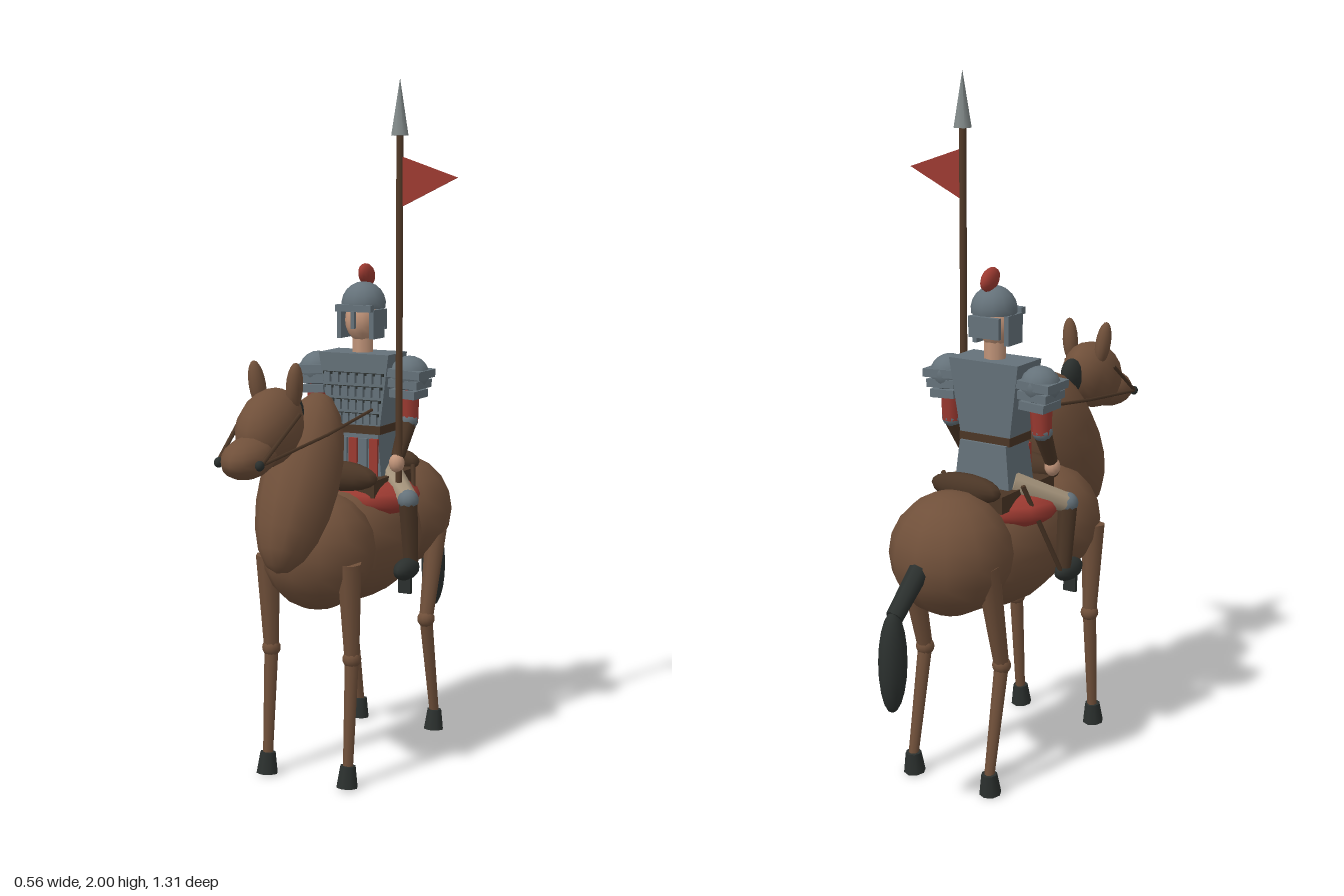
import * as THREE from 'three';

const COLORS = {
  coat: 0x70503a, dark: 0x2b302e, leather: 0x4b3626, steel: 0x65727a,
  red: 0x9c3a31, skin: 0xc2957a, cloth: 0xa3927a, wood: 0x523a28, silver: 0x848c8c,
};
const MATS = {};
for (const [k, color] of Object.entries(COLORS)) MATS[k] = new THREE.MeshStandardMaterial({ color });
const V = (x, y, z) => new THREE.Vector3(x, y, z);

export function createModel() {
  const model = new THREE.Group();
  const body = new THREE.Group(); // horse and rider share one centre plane
  body.name = 'horseAndRider';
  body.position.x = -0.055;
  model.add(body);

  const add = (name, geo, mat, parent = body) => {
    const m = new THREE.Mesh(geo, MATS[mat]);
    m.name = name;
    parent.add(m);
    return m;
  };
  // Ellipsoid: centre, radii, tilt about x
  const blob = (name, mat, c, r, tilt = 0) => {
    const m = add(name, new THREE.SphereGeometry(1, 12, 10), mat);
    m.position.set(...c);
    m.scale.set(...r);
    m.rotation.x = tilt;
    return m;
  };
  // Tapered rod from a to b
  const rod = (name, mat, a, b, ra, rb = ra, sides = 8) => {
    const p = V(...a), q = V(...b), d = q.clone().sub(p);
    const m = add(name, new THREE.CylinderGeometry(rb, ra, d.length(), sides), mat);
    m.position.copy(p).add(q).multiplyScalar(0.5);
    m.quaternion.setFromUnitVectors(V(0, 1, 0), d.normalize());
    return m;
  };
  // Box whose lower end is scaled by kx, kz
  const box = (name, mat, c, s, kx = 1, kz = 1) => {
    const g = new THREE.BoxGeometry(...s), p = g.attributes.position;
    for (let i = 0; i < p.count; i++)
      if (p.getY(i) < 0) p.setXYZ(i, p.getX(i) * kx, p.getY(i), p.getZ(i) * kz);
    g.computeVertexNormals();
    const m = add(name, g, mat);
    m.position.set(...c);
    return m;
  };

  // Horse trunk, neck and head
  blob('barrel', 'coat', [0, 0.655, -0.07], [0.165, 0.18, 0.3]);
  blob('rump', 'coat', [0, 0.695, -0.33], [0.175, 0.177, 0.175]);
  blob('chest', 'coat', [0, 0.665, 0.175], [0.165, 0.172, 0.168]);
  blob('neck', 'coat', [0, 0.88, 0.28], [0.11, 0.27, 0.115], -0.52);
  blob('horseHead', 'coat', [0, 1.055, 0.445], [0.083, 0.1, 0.13], 0.45);
  blob('muzzle', 'coat', [0, 0.99, 0.555], [0.066, 0.056, 0.1], 0.12);
  blob('mane', 'dark', [0, 1.075, 0.325], [0.03, 0.055, 0.045], -0.4);

  // Tail
  rod('tailRoot', 'dark', [0, 0.7, -0.47], [0, 0.59, -0.6], 0.03, 0.025);
  blob('tailHair', 'dark', [0, 0.465, -0.61], [0.038, 0.145, 0.044], 0.03);

  // Saddle and blanket
  blob('saddleBlanket', 'red', [0, 0.785, -0.085], [0.187, 0.068, 0.16]);
  box('saddleSeat', 'leather', [0, 0.825, -0.1], [0.22, 0.05, 0.28]);
  blob('pommel', 'leather', [0, 0.86, 0.045], [0.125, 0.045, 0.036]);
  blob('cantle', 'leather', [0, 0.865, -0.255], [0.117, 0.042, 0.034]);

  // Rider torso: cuirass, belt and skirt
  box('cuirass', 'steel', [0, 1.1, -0.105], [0.23, 0.22, 0.125], 0.72, 0.85);
  box('belt', 'leather', [0, 0.985, -0.105], [0.17, 0.025, 0.112]);
  box('skirt', 'steel', [0, 0.905, -0.11], [0.155, 0.14, 0.12], 1.2, 1.1);
  for (let i = -2; i <= 2; i++)
    box('skirtStrip', i % 2 ? 'steel' : 'red', [i * 0.034, 0.9, -0.045], [0.026, 0.12, 0.014]);

  // Rows of chest scales
  for (let row = 0; row < 4; row++) {
    const y = 1.15 - row * 0.04;
    box('scaleBacking', 'dark', [0, y, -0.045], [0.2 - row * 0.012, 0.008, 0.012]);
    for (let i = -3; i <= 3; i++)
      box('chestScale', 'steel', [i * (0.028 - row * 0.0016), y - 0.012, -0.041], [0.018, 0.03, 0.012]);
  }

  // Rider head and helmet
  rod('riderNeck', 'skin', [0, 1.19, -0.105], [0, 1.28, -0.105], 0.032);
  blob('face', 'skin', [0, 1.305, -0.1], [0.05, 0.065, 0.053]);
  const dome = add('helmetDome', new THREE.SphereGeometry(0.066, 12, 6, 0, Math.PI * 2, 0, Math.PI * 0.56), 'steel');
  dome.material = MATS.steel.clone();
  dome.material.side = THREE.DoubleSide;
  dome.position.set(0, 1.352, -0.11);
  box('helmetBrow', 'steel', [0, 1.342, -0.05], [0.118, 0.02, 0.022]);
  box('noseGuard', 'steel', [0, 1.308, -0.042], [0.012, 0.05, 0.012]);
  box('neckGuard', 'steel', [0, 1.305, -0.158], [0.1, 0.06, 0.015]);
  blob('plume', 'red', [0, 1.437, -0.13], [0.02, 0.031, 0.043], -0.45);

  // Mirrored parts
  for (const s of [1, -1]) {
    // Horse ears, bridle and reins
    blob('horseEar', 'coat', [s * 0.058, 1.165, 0.41], [0.023, 0.068, 0.025], 0.1).rotation.z = -s * 0.12;
    blob('bitRing', 'dark', [s * 0.063, 0.98, 0.605], [0.012, 0.014, 0.014]);
    rod('bridleStrap', 'leather', [s * 0.066, 0.98, 0.605], [s * 0.085, 1.095, 0.43], 0.006, 0.006, 6);
    rod('rein', 'leather', [s * 0.066, 0.98, 0.605], [s * 0.09, 1.02, 0.28], 0.005, 0.005, 6);
    rod('rein', 'leather', [s * 0.09, 1.02, 0.28], [s * 0.088, 1.055, 0.01], 0.005, 0.005, 6);

    // Horse legs: [hip, knee, fetlock]
    const legs = {
      front: [[s * 0.132, 0.65, 0.235], [s * 0.132, 0.37, 0.22], [s * 0.132, 0.05, 0.245]],
      hind: [[s * 0.135, 0.69, -0.352], [s * 0.132, 0.37, -0.275], [s * 0.132, 0.05, -0.34]],
    };
    for (const [k, [hip, knee, foot]] of Object.entries(legs)) {
      rod(k + 'UpperLeg', 'coat', hip, knee, 0.036, 0.022);
      blob(k + 'Knee', 'coat', knee, [0.027, 0.027, 0.027]);
      rod(k + 'LowerLeg', 'coat', knee, foot, 0.021, 0.015);
      rod(k + 'Hoof', 'dark', [foot[0], 0, foot[2] + 0.006], [foot[0], 0.062, foot[2]], 0.032, 0.023);
    }

    // Shoulder plates
    blob('pauldron', 'steel', [s * 0.152, 1.15, -0.108], [0.058, 0.055, 0.058]);
    for (let i = 0; i < 3; i++)
      box('shoulderPlate', 'steel', [s * (0.158 - i * 0.004), 1.155 - i * 0.03, -0.107],
        [0.105 - i * 0.012, 0.024, 0.112 - i * 0.008]).rotation.z = -s * 0.06;

    // Arms
    rod('sleeve', 'red', [s * 0.15, 1.13, -0.105], [s * 0.153, 1.01, -0.1], 0.034, 0.029);
    blob('elbow', 'steel', [s * 0.153, 1.015, -0.098], [0.03, 0.028, 0.03]);
    rod('forearm', 'leather', [s * 0.153, 1.01, -0.095], [s * 0.148, 0.915, -0.04], 0.027, 0.02);
    blob('hand', 'skin', [s * 0.148, 0.897, -0.033], [0.023, 0.028, 0.023]);

    // Cheek guard
    box('cheekGuard', 'steel', [s * 0.053, 1.295, -0.092], [0.014, 0.085, 0.075]);

    // Legs, boots and stirrups
    rod('thigh', 'cloth', [s * 0.07, 0.855, -0.13], [s * 0.188, 0.795, -0.025], 0.04, 0.03);
    blob('kneeGuard', 'steel', [s * 0.192, 0.793, -0.02], [0.031, 0.031, 0.031]);
    rod('shin', 'leather', [s * 0.192, 0.785, -0.02], [s * 0.192, 0.605, -0.04], 0.029, 0.023);
    blob('boot', 'dark', [s * 0.192, 0.59, -0.01], [0.031, 0.032, 0.063]);
    rod('stirrupStrap', 'leather', [s * 0.135, 0.87, -0.17], [s * 0.195, 0.6, -0.06], 0.007, 0.007, 6);
    box('stirrup', 'dark', [s * 0.192, 0.545, 0], [0.04, 0.05, 0.012]);
  }

  // Lance with pennant
  rod('lanceShaft', 'wood', [0.154, 0.84, -0.035], [0.154, 1.86, -0.035], 0.0105);
  rod('lanceHead', 'silver', [0.154, 1.84, -0.035], [0.154, 2, -0.035], 0.026, 0);
  const tri = new THREE.Shape([new THREE.Vector2(0, 1.64), new THREE.Vector2(0.172, 1.722), new THREE.Vector2(0, 1.78)]);
  const flag = add('pennant', new THREE.ExtrudeGeometry(tri, { depth: 0.004, bevelEnabled: false }), 'red');
  flag.position.set(0.163, 0, -0.037);

  return model;
}
